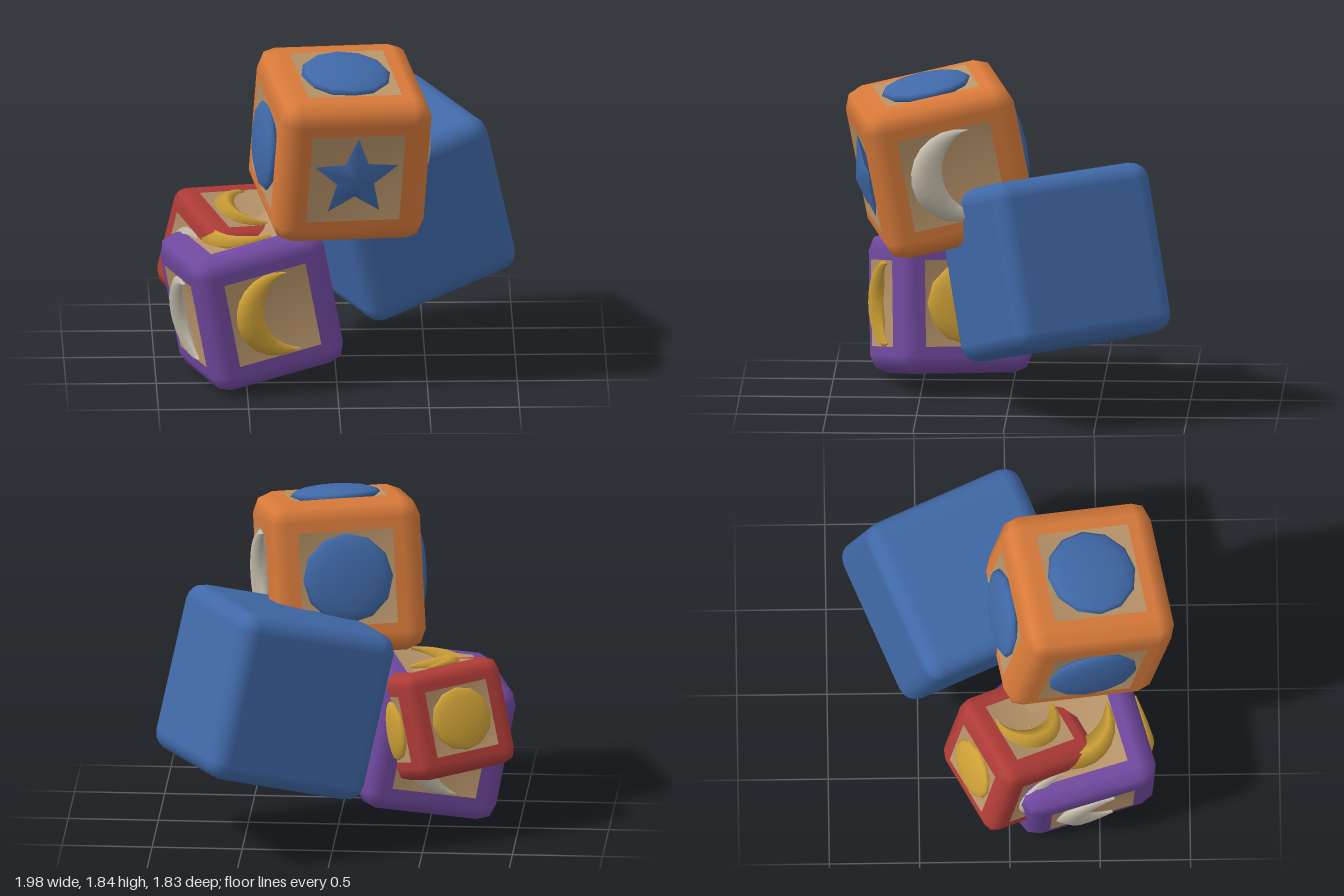
import * as THREE from 'three';
import { mergeGeometries } from 'three/addons/utils/BufferGeometryUtils.js';
import { RoundedBoxGeometry } from 'three/addons/geometries/RoundedBoxGeometry.js';

const HALF = 0.39, BEVEL = 0.1, PANEL = 0.24; // base toy block, scaled per block

function material(name, color, side = THREE.FrontSide) {
  const m = new THREE.MeshStandardMaterial({ color, side });
  m.name = name;
  return m;
}

function indexed(points, index) {
  const g = new THREE.BufferGeometry();
  g.setAttribute('position', new THREE.Float32BufferAttribute(points, 3));
  g.setIndex(index);
  g.computeVertexNormals();
  return g;
}

// Smooth fan from a counter-clockwise outline to a raised or sunken centre
function fan(outline, height, flip = false) {
  const points = [0, 0, height], index = [], n = outline.length;
  outline.forEach(([x, y], i) => {
    points.push(x, y, 0);
    const a = 1 + i, b = 1 + (i + 1) % n;
    index.push(0, ...(flip ? [b, a] : [a, b]));
  });
  return indexed(points, index);
}

function starGeometry() {
  const outline = [];
  for (let i = 0; i < 10; i++) {
    const r = i % 2 ? 0.1 : 0.225, a = Math.PI / 2 + i * Math.PI / 5;
    outline.push([r * Math.cos(a), r * Math.sin(a)]);
  }
  return mergeGeometries([fan(outline, 0.05), fan(outline, -0.05, true)]);
}

// Puffed crescent: diamond cross-sections between an outer and an inner arc
function moonGeometry() {
  const points = [], index = [], n = 14;
  for (let i = 0; i <= n; i++) {
    const t = i / n, h = 0.012 + 0.035 * Math.sin(Math.PI * t);
    const a = THREE.MathUtils.degToRad(67.7 + t * 224.6);
    const b = THREE.MathUtils.degToRad(105.3 + t * 149.4);
    const ox = 0.03 + 0.24 * Math.cos(a), oy = 0.24 * Math.sin(a);
    const ix = 0.18 + 0.23 * Math.cos(b), iy = 0.23 * Math.sin(b);
    const mx = (ox + ix) / 2, my = (oy + iy) / 2;
    points.push(ox, oy, 0, mx, my, h, ix, iy, 0, mx, my, -h);
    if (i === n) break;
    for (let k = 0; k < 4; k++) {
      const p = 4 * i + k, q = 4 * i + (k + 1) % 4;
      index.push(p, p + 4, q, q, p + 4, q + 4);
    }
  }
  return indexed(points, index);
}

function discGeometry() {
  return new THREE.SphereGeometry(0.228, 12, 8).rotateX(Math.PI / 2).scale(1, 1, 0.2);
}

const FACES = {
  front: [0, 0], back: [0, Math.PI], right: [0, Math.PI / 2],
  left: [0, -Math.PI / 2], top: [-Math.PI / 2, 0], bottom: [Math.PI / 2, 0],
};

// Bevelled cube whose decorated faces are frames with a square opening
function frameGeometry(open) {
  const box = new RoundedBoxGeometry(2 * HALF, 2 * HALF, 2 * HALF, 1, BEVEL);
  const p = box.attributes.position.array, n = box.attributes.normal.array;
  const pos = [], nor = [];
  for (let i = 0; i < p.length; i += 9) {
    const flat = [0, 1, 2].some(k =>
      [0, 3, 6].every(v => Math.abs(p[i + v + k]) > HALF - 1e-4));
    if (flat) continue;
    pos.push(...p.slice(i, i + 9));
    nor.push(...n.slice(i, i + 9));
  }
  const bevels = new THREE.BufferGeometry();
  bevels.setAttribute('position', new THREE.Float32BufferAttribute(pos, 3));
  bevels.setAttribute('normal', new THREE.Float32BufferAttribute(nor, 3));
  const square = r => [[-r, -r], [r, -r], [r, r], [-r, r]].map(q => new THREE.Vector2(...q));
  const parts = [bevels];
  for (const [face, [rx, ry]] of Object.entries(FACES)) {
    const shape = new THREE.Shape(square(HALF - BEVEL));
    if (open.includes(face)) shape.holes.push(new THREE.Path(square(PANEL)));
    const g = new THREE.ShapeGeometry(shape).toNonIndexed();
    g.deleteAttribute('uv');
    parts.push(g.translate(0, 0, HALF).rotateX(rx).rotateY(ry));
  }
  return mergeGeometries(parts);
}

// Place an object by its centre and its tilted x and y axes
function pose(object, centre, xAxis, yAxis) {
  const x = new THREE.Vector3(...xAxis).normalize();
  const z = new THREE.Vector3().crossVectors(x, new THREE.Vector3(...yAxis)).normalize();
  const y = new THREE.Vector3().crossVectors(z, x);
  object.quaternion.setFromRotationMatrix(new THREE.Matrix4().makeBasis(x, y, z));
  object.position.set(...centre);
  return object;
}

export function createModel() {
  const model = new THREE.Group();
  model.name = 'toyBlocks';

  const orange = material('orange', 0xd87a3a);
  const blue = material('blue', 0x4069a8);
  const purple = material('purple', 0x70499f);
  const red = material('red', 0xb03c38);
  const yellow = material('yellow', 0xd0a238);
  const cream = material('cream', 0xc8bfae);
  const wood = material('wood', 0xb8946a, THREE.DoubleSide);

  const symbols = { star: starGeometry(), moon: moonGeometry(), disc: discGeometry() };
  const recess = fan([[-PANEL, -PANEL], [PANEL, -PANEL], [PANEL, PANEL], [-PANEL, PANEL]], -0.07);

  function block(name, paint, scale, decor) {
    const group = new THREE.Group();
    group.name = name;
    const frame = new THREE.Mesh(frameGeometry(Object.keys(decor)), paint);
    frame.name = 'frame';
    group.add(frame);
    for (const [face, [kind, colour]] of Object.entries(decor)) {
      const side = new THREE.Group();
      side.name = face + 'Face';
      side.rotation.set(...FACES[face], 0);
      const panel = new THREE.Mesh(recess, wood);
      panel.name = 'panel';
      const symbol = new THREE.Mesh(symbols[kind], colour);
      symbol.name = kind;
      panel.position.z = symbol.position.z = HALF;
      side.add(panel, symbol);
      group.add(side);
    }
    group.scale.setScalar(scale);
    model.add(group);
    return group;
  }

  // Orange block on top of the pile
  pose(block('orangeBlock', orange, 1.1, {
    front: ['star', blue], top: ['disc', blue], left: ['disc', blue],
    back: ['disc', blue], right: ['moon', cream],
  }), [0.022, 1.355, 0.385], [0.981, -0.03, -0.19], [0.066, 0.98, 0.187]);

  // Purple block at the lower front
  pose(block('purpleBlock', purple, 1, {
    front: ['moon', yellow], top: ['moon', yellow], right: ['disc', yellow],
    left: ['moon', cream], back: ['moon', cream],
  }), [-0.468, 0.449, 0.35], [0.942, 0.182, -0.28], [-0.183, 0.983, 0.02]);

  // Small red block pushed into the back of the purple one
  pose(block('redBlock', red, 0.77, {
    back: ['disc', yellow], top: ['moon', yellow], left: ['moon', cream], right: ['disc', yellow],
  }), [-0.57, 0.61, 0.055], [0.88, -0.09, -0.465], [0.208, 0.952, 0.208]);

  // Large plain blue block at the back
  const plain = new THREE.Mesh(new RoundedBoxGeometry(0.95, 0.95, 0.95, 2, 0.1), blue);
  plain.name = 'plainBlueBlock';
  model.add(pose(plain, [0.335, 0.843, -0.26], [0.88, 0.26, -0.4], [-0.22, 0.96, 0.175]));

  return model;
}
